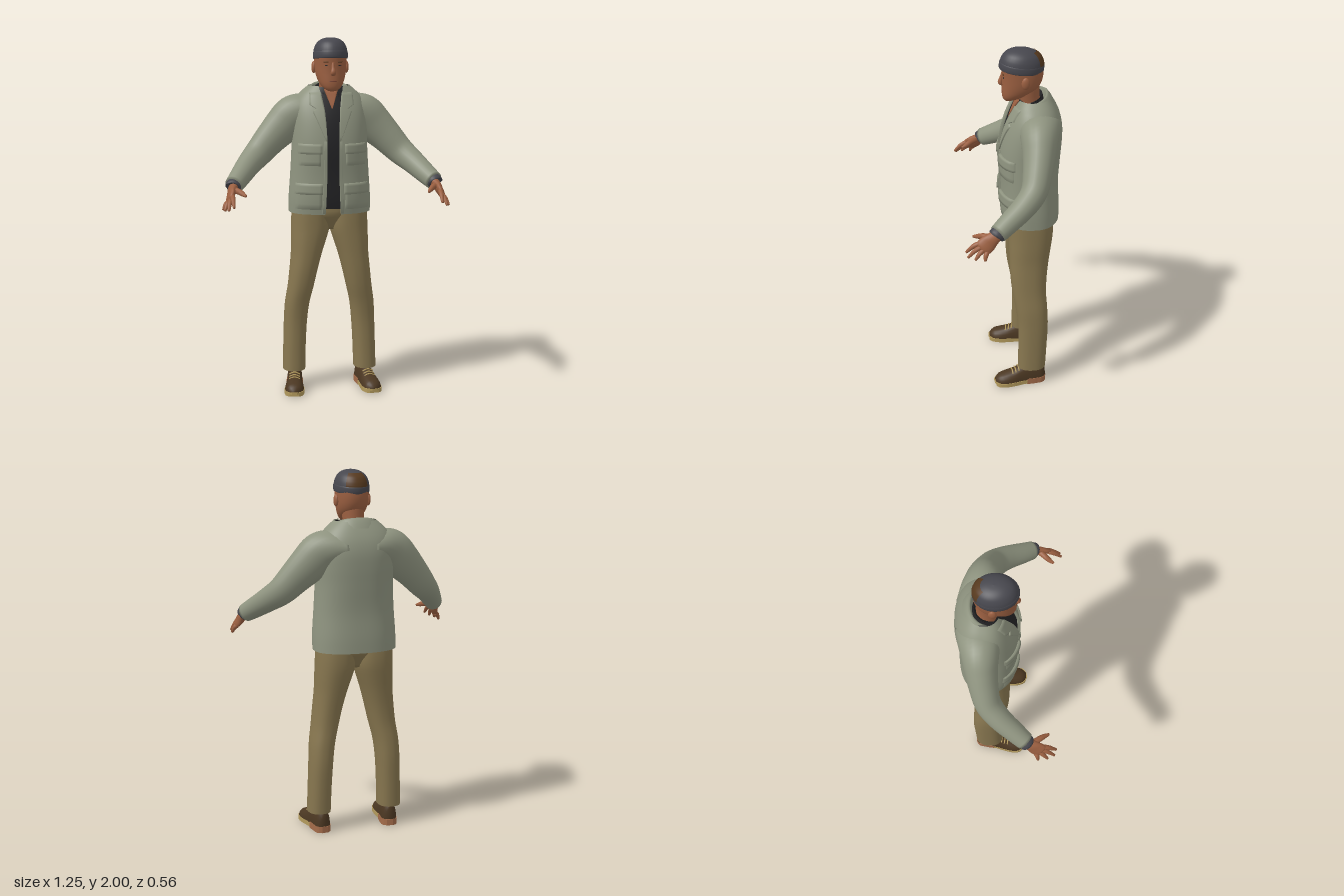
import * as THREE from 'three';

const mat = (name, color) => Object.assign(new THREE.MeshStandardMaterial({ color, side: THREE.DoubleSide }), { name });

// Smooth table lookup: rows are [key, ...values], keys ascending
function lookup(rows) {
  const size = rows[0].length - 1;
  const spline = new THREE.CubicInterpolant(rows.map(r => r[0]), rows.flatMap(r => r.slice(1)), size, new Float32Array(size));
  return key => Array.from(spline.evaluate(key));
}
const steps = (a, b, n) => Array.from({ length: n + 1 }, (_, i) => a + (b - a) * i / n);

// Skin a list of rings; closed rings wrap round, capped ones get end fans
function loft(rings, closed = true, capped = closed) {
  const n = rings[0].length, pos = rings.flat(2), idx = [];
  for (let i = 0; i < rings.length - 1; i++)
    for (let j = 0; j < (closed ? n : n - 1); j++) {
      const k = (j + 1) % n, a = i * n + j, b = i * n + k;
      idx.push(a, b, b + n, a, b + n, a + n);
    }
  if (capped) [0, rings.length - 1].forEach((r, end) => {
    const c = pos.length / 3;
    pos.push(...[0, 1, 2].map(d => rings[r].reduce((sum, p) => sum + p[d], 0) / n));
    for (let j = 0; j < n; j++) {
      const a = r * n + j, b = r * n + (j + 1) % n;
      idx.push(...(end ? [c, a, b] : [c, b, a]));
    }
  });
  const g = new THREE.BufferGeometry();
  g.setAttribute('position', new THREE.Float32BufferAttribute(pos, 3));
  g.setIndex(idx);
  g.computeVertexNormals();
  return g;
}

// Horizontal superellipse ring, starting at the front; t0 leaves a front opening
const power = (v, e) => Math.sign(v) * Math.abs(v) ** e;
function ring(cx, y, hw, zf, zb, n = 2.3, t0 = 0, count = 40) {
  const end = 2 * Math.PI - t0, list = steps(t0, end, count);
  if (!t0) list.pop();
  return list.map(t => [cx + hw * power(Math.sin(t), 2 / n), y, (zf + zb) / 2 + (zf - zb) / 2 * power(Math.cos(t), 2 / n)]);
}

// Elliptical tube through [x, y, z, radiusU, radiusV] points, mirrored by s
function sweep(points, s = 1, n = 16, sides = 18) {
  const at = lookup(points.map(([x, y, z, ru, rv = ru], i) => [i, x * s, y, z, ru, rv])), last = points.length - 1;
  return loft(steps(0, last, n).map(k => {
    const [x, y, z, ru, rv] = at(k);
    const a = at(Math.max(0, k - 0.05)), b = at(Math.min(last, k + 0.05));
    const t = new THREE.Vector3(b[0] - a[0], b[1] - a[1], b[2] - a[2]).normalize();
    const u = new THREE.Vector3(0, 0, 1).addScaledVector(t, -t.z).normalize();
    const v = t.clone().cross(u);
    return steps(0, 2 * Math.PI, sides).slice(0, -1).map(q =>
      new THREE.Vector3(x, y, z).addScaledVector(u, ru * Math.cos(q)).addScaledVector(v, rv * Math.sin(q)).toArray());
  }));
}

// Jacket body: height, half width, front z, back z, half opening
const TORSO_N = 2.4;
const torso = lookup([
  [1.03, 0.23, 0.045, -0.268, 0.045], [1.1, 0.23, 0.055, -0.268, 0.04], [1.25, 0.22, 0.056, -0.262, 0.036],
  [1.4, 0.212, 0.06, -0.272, 0.036], [1.5, 0.213, 0.047, -0.279, 0.04], [1.58, 0.21, 0.027, -0.278, 0.045],
  [1.64, 0.198, 0.004, -0.264, 0.05], [1.68, 0.175, -0.014, -0.245, 0.055], [1.71, 0.145, -0.026, -0.227, 0.062],
  [1.735, 0.115, -0.037, -0.21, 0.068]]);
function torsoFront(x, y) {
  const [hw, zf, zb] = torso(y), q = Math.min(1, Math.abs(x) / hw);
  return (zf + zb) / 2 + (zf - zb) / 2 * (1 - q ** TORSO_N) ** (1 / TORSO_N);
}

// Raised panel following the chest; rows are [y, xInner, xOuter], bottom to top
function panel(rows, s, lift) {
  const fine = [];
  rows.forEach((r, i) => {
    if (i) for (let k = 1; k <= 4; k++) fine.push(r.map((v, d) => rows[i - 1][d] + (v - rows[i - 1][d]) * k / 4));
    else fine.push(r);
  });
  const line = ([y, a, b], offset) => {
    const xs = steps(Math.min(a * s, b * s), Math.max(a * s, b * s), 8);
    const pt = (x, o) => [x, y, torsoFront(x, y) + o];
    return [pt(xs[0], lift - 0.014), ...xs.map(x => pt(x, offset)), pt(xs[8], lift - 0.014)];
  };
  return loft([line(fine[0], lift - 0.014), ...fine.map(r => line(r, lift)), line(fine.at(-1), lift - 0.014)], false);
}

export function createModel() {
  const model = new THREE.Group();
  model.name = 'standingMan';
  const jacket = mat('sageJacket', 0x8f9480), trousers = mat('khakiTrousers', 0x87764f), skin = mat('skin', 0x9c6041),
    beanie = mat('greyKnit', 0x47474e), shirt = mat('blackShirt', 0x232325), leather = mat('brownLeather', 0x4b3722),
    sole = mat('tanSole', 0xb39a5c), heelMat = mat('heelRubber', 0xa46c4a), hair = mat('darkBrownHair', 0x573a1f), lip = mat('lip', 0x7f4735);
  const add = (name, geometry, material, parent = model) => {
    const mesh = new THREE.Mesh(geometry, material);
    mesh.name = name;
    parent.add(mesh);
  };
  const blob = (name, material, [x, y, z], [a, b, c]) =>
    add(name, new THREE.SphereGeometry(1, 16, 12).scale(a, b, c).translate(x, y, z), material);

  // Head and neck
  add('neck', sweep([[0, 1.6, -0.115, 0.068, 0.064], [0, 1.7, -0.1, 0.062, 0.058], [0, 1.8, -0.09, 0.068, 0.062]]), skin);
  const headAt = lookup([[1.712, 0.022, 0.027, -0.015], [1.725, 0.043, 0.037, -0.05], [1.75, 0.063, 0.042, -0.1], [1.78, 0.076, 0.042, -0.145],
    [1.81, 0.083, 0.041, -0.165], [1.85, 0.087, 0.042, -0.176], [1.91, 0.09, 0.047, -0.178]]);
  add('head', loft(steps(1.712, 1.91, 20).map(y => ring(0, y, ...headAt(y), 2.2))), skin);
  add('nose', sweep([[0, 1.868, 0.037, 0.008], [0, 1.84, 0.044, 0.01], [0, 1.815, 0.05, 0.013, 0.015], [0, 1.801, 0.041, 0.007, 0.013]]), skin);
  blob('mouth', lip, [0, 1.767, 0.037], [0.024, 0.006, 0.007]);
  for (const s of [1, -1]) {
    blob('ear', skin, [s * 0.091, 1.838, -0.076], [0.013, 0.034, 0.022]);
    blob('eye', shirt, [s * 0.034, 1.853, 0.035], [0.012, 0.003, 0.003]);
    blob('eyebrow', hair, [s * 0.036, 1.872, 0.037], [0.019, 0.003, 0.004]);
  }

  // Knitted cap with a rolled band, and the hair patch at its back
  const cap = new THREE.Group();
  cap.name = 'cap';
  cap.position.set(0, 1.884, -0.06);
  cap.rotation.x = -0.1;
  model.add(cap);
  const lathe = (pts, ...arc) => new THREE.LatheGeometry(new THREE.SplineCurve(pts.map(p => new THREE.Vector2(...p))).getPoints(30), ...arc).scale(0.096, 1, 0.12);
  add('capCrown', lathe([[0.975, 0.03], [0.96, 0.045], [0.9, 0.066], [0.77, 0.088], [0.56, 0.104], [0.3, 0.113], [0, 0.116]], 36), beanie, cap);
  add('capBand', lathe([[0.93, 0], [0.98, 0.002], [1, 0.016], [0.99, 0.033], [0.965, 0.04]], 36), beanie, cap);
  add('hairPatch', lathe([[0.985, 0.04], [0.97, 0.05], [0.91, 0.069], [0.78, 0.091], [0.56, 0.108]], 14, Math.PI - 0.7, 1.4), hair, cap);

  // Shirt, its collar and the open neck
  const inset = 0.013;
  add('shirt', loft(steps(1.06, 1.73, 24).map(y => {
    const [hw, zf, zb] = torso(y);
    return ring(0, y, hw - inset, zf - inset, zb + inset, TORSO_N);
  }), true, false), shirt);
  add('openNeck', panel([[1.615, -0.002, 0.002], [1.72, -0.04, 0.04]], 1, -0.005), skin);
  // Collar bands lean down towards the front
  const band = (rows, t0) => loft(rows.map(([y, hw, zf, zb]) =>
    ring(0, y, hw, zf, zb, 2.2, t0).map(([x, h, z]) => [x, h - 0.36 * (z + 0.19), z])), false);
  add('shirtCollar', band([[1.69, 0.094, -0.012, -0.185], [1.735, 0.086, -0.019, -0.177], [1.755, 0.08, -0.026, -0.172], [1.72, 0.074, -0.034, -0.165]], 0.45), shirt);
  add('jacketCollar', band([[1.685, 0.142, 0.004, -0.235], [1.715, 0.13, -0.003, -0.222], [1.743, 0.116, -0.012, -0.206],
    [1.752, 0.107, -0.016, -0.197], [1.745, 0.099, -0.02, -0.19], [1.7, 0.093, -0.024, -0.184]], 0.6), jacket);

  // Open-fronted jacket body
  add('jacketBody', loft(steps(1.03, 1.735, 30).map(y => {
    const [hw, zf, zb, gap] = torso(y);
    return ring(0, y, hw, zf, zb, TORSO_N, Math.asin((gap / hw) ** (TORSO_N / 2)), 56);
  }), false), jacket);

  for (const s of [1, -1]) {
    // Lapel, front edge and flap pockets
    add('lapel', panel([[1.44, 0.034, 0.04], [1.54, 0.038, 0.082], [1.6, 0.042, 0.108], [1.615, 0.044, 0.088], [1.635, 0.047, 0.122], [1.7, 0.058, 0.12]], s, 0.007), jacket);
    add('frontEdge', panel([[1.035, 0.042, 0.06], [1.25, 0.034, 0.052], [1.44, 0.034, 0.052]], s, 0.003), jacket);
    add('chestPocket', panel([[1.305, 0.07, 0.186], [1.4, 0.07, 0.184]], s, 0.007), jacket);
    add('chestPocketFlap', panel([[1.37, 0.064, 0.19], [1.425, 0.064, 0.188]], s, 0.013), jacket);
    add('hipPocket', panel([[1.06, 0.066, 0.205], [1.18, 0.066, 0.2]], s, 0.007), jacket);
    add('hipPocketFlap', panel([[1.145, 0.06, 0.208], [1.205, 0.06, 0.203]], s, 0.013), jacket);

    // Sleeve and dark cuff lining
    add('sleeve', sweep([[0.07, 1.595, -0.15, 0.122, 0.075], [0.14, 1.592, -0.145, 0.112, 0.098], [0.2, 1.567, -0.138, 0.1, 0.112],
      [0.26, 1.51, -0.131, 0.088, 0.106], [0.33, 1.44, -0.116, 0.078, 0.091], [0.4, 1.365, -0.09, 0.07, 0.078],
      [0.46, 1.31, -0.03, 0.063, 0.067], [0.52, 1.25, 0.06, 0.055, 0.057], [0.553, 1.218, 0.11, 0.049, 0.051]], s, 36, 24), jacket);
    add('cuff', sweep([[0.54, 1.23, 0.09, 0.043], [0.557, 1.214, 0.116, 0.044], [0.56, 1.21, 0.121, 0.041]], s, 6), beanie);

    // Hand with spread fingers
    add('palm', sweep([[0.548, 1.22, 0.105, 0.032, 0.026], [0.563, 1.2, 0.135, 0.036, 0.024], [0.573, 1.175, 0.165, 0.045, 0.02],
      [0.582, 1.155, 0.19, 0.043, 0.016], [0.586, 1.147, 0.2, 0.028, 0.01]], s), skin);
    const tips = [[0.565, 1.124, 0.276], [0.592, 1.108, 0.268], [0.61, 1.102, 0.232], [0.617, 1.097, 0.182]];
    tips.forEach((tip, i) => {
      const k = i / 3, base = [0.568 + 0.024 * k, 1.177 - 0.042 * k, 0.203 - 0.033 * k];
      const mid = base.map((v, d) => (v + tip[d]) / 2 + (d === 1 ? 0.008 : 0));
      add('finger', sweep([[...base, 0.014], [...mid, 0.0125], [...tip, 0.007]], s, 8, 10), skin);
    });
    add('thumb', sweep([[0.56, 1.2, 0.145, 0.018], [0.53, 1.195, 0.185, 0.016], [0.512, 1.185, 0.21, 0.013], [0.498, 1.178, 0.235, 0.007]], s, 10, 10), skin);

    // Trouser leg: height, centre, half width, front z, back z
    const leg = lookup([[0.11, 0.206, 0.064, -0.029, -0.187], [0.25, 0.202, 0.064, -0.032, -0.194], [0.4, 0.195, 0.066, -0.03, -0.2],
      [0.5, 0.186, 0.069, -0.018, -0.196], [0.6, 0.167, 0.073, 0, -0.19], [0.7, 0.15, 0.079, 0.01, -0.195], [0.8, 0.132, 0.088, 0.013, -0.207],
      [0.87, 0.12, 0.099, 0.014, -0.218], [0.94, 0.109, 0.108, 0.014, -0.228], [1.0, 0.107, 0.108, 0.014, -0.23], [1.08, 0.105, 0.106, 0.012, -0.225]]);
    add('trouserLeg', loft(steps(0.11, 1.08, 36).map(y => {
      const [cx, ...size] = leg(y);
      return ring(s * cx, y, ...size, 2.3);
    }), true, false), trousers);

    // Shoe: upper lofted from heel to toe, welt, tread, heel and laces
    const shoe = new THREE.Group();
    shoe.name = 'shoe';
    shoe.position.set(s * 0.211, 0, -0.04);
    shoe.rotation.y = s * 0.13;
    model.add(shoe);
    const upper = lookup([[-0.145, 0.022, 0.1], [-0.13, 0.038, 0.125], [-0.09, 0.044, 0.13], [-0.04, 0.044, 0.125], [0, 0.046, 0.108],
      [0.04, 0.052, 0.088], [0.09, 0.053, 0.073], [0.125, 0.042, 0.06], [0.145, 0.018, 0.04]]);
    add('shoeUpper', loft(steps(-0.145, 0.145, 24).map(z => {
      const [hw, top] = upper(z);
      return steps(0, 2 * Math.PI, 24).slice(0, -1).map(a => [hw * power(Math.cos(a), 0.8), 0.02 + Math.max(0, (top - 0.02) * Math.sin(a)), z]);
    })), leather, shoe);
    // Footprint slice between two z values
    const slab = (z0, z1, y0, y1) => {
      const at = lookup([[-0.15, 0.016], [-0.135, 0.037], [-0.09, 0.046], [-0.02, 0.046], [0.05, 0.055], [0.1, 0.054], [0.135, 0.039], [0.15, 0.014]]);
      const zs = steps(z0, z1, 20), pts = [...zs.map(z => [at(z)[0], z]), ...zs.reverse().map(z => [-at(z)[0], z])];
      const shape = new THREE.Shape(pts.map(([x, z]) => new THREE.Vector2(x, -z)));
      return new THREE.ExtrudeGeometry(shape, { depth: y1 - y0, bevelEnabled: false }).rotateX(-Math.PI / 2).translate(0, y0, 0);
    };
    add('welt', slab(-0.035, 0.15, 0.017, 0.028), sole, shoe);
    add('tread', slab(-0.035, 0.143, 0.004, 0.017), sole, shoe);
    add('heel', slab(-0.149, -0.035, 0, 0.036), heelMat, shoe);
    for (const z of [0.01, 0.028, 0.046]) {
      const top = upper(z)[1];
      add('lace', sweep([[-0.03, top - 0.009, z, 0.004], [0, top + 0.002, z, 0.004], [0.03, top - 0.009, z, 0.004]], 1, 8, 6), sole, shoe);
    }
  }
  // Seat filling the groove between the legs
  add('trouserSeat', loft(steps(0.93, 1.08, 8).map(y => {
    const k = Math.min(1, (y - 0.93) / 0.09);
    return ring(0, y, 0.06 + 0.05 * k, -0.045 + 0.055 * k, -0.165 - 0.058 * k, 2.6);
  })), trousers);
  return model;
}
